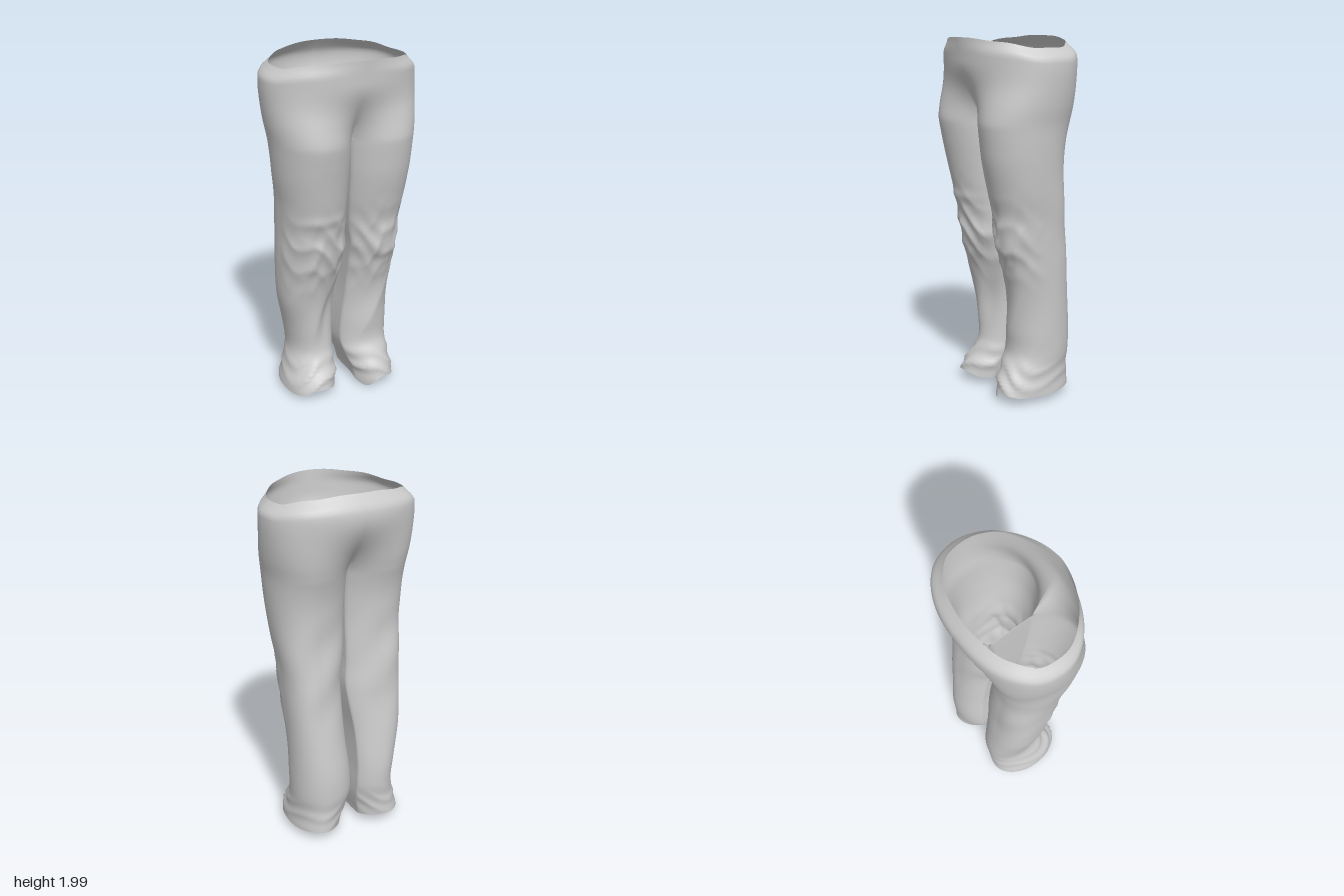
import * as THREE from 'three';
import { mergeVertices } from 'three/addons/utils/BufferGeometryUtils.js';

const CROTCH = 1.55, OUTER = 64, INNER = 18, LOW = 90, HIGH = 26;
// Angles where the leg section meets the front and back centre seams
const FRONT = THREE.MathUtils.degToRad(152), BACK = THREE.MathUtils.degToRad(-145);

// Section keys: height, inner x, outer x, front z, back z
const hips = [
  [1.55, 0, 0.40, 0.287, -0.225], [1.65, 0, 0.416, 0.292, -0.26],
  [1.75, 0, 0.426, 0.293, -0.288], [1.85, 0, 0.43, 0.3, -0.305],
  [1.92, 0, 0.422, 0.304, -0.303], [1.96, 0, 0.4, 0.307, -0.28], [2.0, 0, 0.375, 0.31, -0.25],
];
const leftLeg = [
  [0, 0.075, 0.33, 0.195, -0.25], [0.06, 0.07, 0.33, 0.195, -0.257], [0.12, 0.055, 0.325, 0.178, -0.258],
  [0.19, 0.03, 0.322, 0.14, -0.26], [0.27, 0.015, 0.325, 0.095, -0.268], [0.4, 0.02, 0.328, 0.095, -0.266],
  [0.6, 0.038, 0.333, 0.102, -0.24], [0.8, 0.042, 0.34, 0.148, -0.212], [0.92, 0.038, 0.344, 0.188, -0.202],
  [1.03, 0.025, 0.35, 0.187, -0.193], [1.2, 0.012, 0.37, 0.225, -0.18], [1.35, 0.006, 0.384, 0.26, -0.187],
  [1.45, 0.003, 0.392, 0.275, -0.2], ...hips,
];
const rightLeg = [
  [0, 0.06, 0.342, 0.17, -0.25], [0.06, 0.055, 0.34, 0.175, -0.256], [0.12, 0.045, 0.322, 0.155, -0.255],
  [0.19, 0.036, 0.3, 0.105, -0.255], [0.27, 0.034, 0.28, 0.07, -0.262], [0.4, 0.036, 0.295, 0.07, -0.262],
  [0.6, 0.028, 0.333, 0.092, -0.24], [0.8, 0.002, 0.344, 0.14, -0.212], [0.9, -0.006, 0.346, 0.172, -0.204],
  [1.03, 0.002, 0.348, 0.185, -0.195], [1.2, 0.004, 0.358, 0.22, -0.182], [1.35, 0.003, 0.38, 0.25, -0.188],
  [1.45, 0.002, 0.39, 0.27, -0.2], ...hips,
];

// Smooth interpolation through the section keys
function sectionAt(keys, y) {
  const n = keys.length;
  let i = 0;
  while (i < n - 2 && y > keys[i + 1][0]) i++;
  const a = keys[i], b = keys[i + 1], p = keys[Math.max(0, i - 1)], q = keys[Math.min(n - 1, i + 2)];
  const h = b[0] - a[0], t = THREE.MathUtils.clamp((y - a[0]) / h, 0, 1), t2 = t * t, t3 = t2 * t;
  return [1, 2, 3, 4].map((c) => {
    const ma = (b[c] - p[c]) / (b[0] - p[0]) * h, mb = (q[c] - a[c]) / (q[0] - a[0]) * h;
    return (2 * t3 - 3 * t2 + 1) * a[c] + (t3 - 2 * t2 + t) * ma + (3 * t2 - 2 * t3) * b[c] + (t3 - t2) * mb;
  });
}

const bump = (v, mid, width) => Math.exp(-(((v - mid) / width) ** 2));
const fold = (v) => 1 - 1.6 * Math.abs(Math.sin(v)); // sharp ridge, soft valley

// Cloth folds: crossing knee creases, diagonal shin drags, gathered hem, faint sag at the back
function wrinkle(phi, y, side) {
  const front = Math.max(0, Math.sin(phi)), back = Math.max(0, -Math.sin(phi)), c = Math.cos(phi);
  let d = 0.009 * bump(y, 0.92, 0.17) * front * fold(21 * y + side * 3 * c + Math.sin(4 * phi + side));
  d += 0.007 * bump(y, 0.9, 0.19) * front * fold(13 * y - side * 4 * c + 0.6 * Math.sin(7 * phi));
  d += 0.007 * bump(y, 0.5, 0.22) * front * fold(7 * y - side * 2.6 * c);
  d += 0.01 * bump(y, 0.14, 0.07) * (0.4 + front) * fold(34 * y + 2.5 * c + Math.sin(3 * phi));
  d += 0.004 * bump(y, 1.05, 0.3) * back * Math.sin(15 * y + 4 * side * c);
  if (side < 0) {
    d += 0.008 * bump(y, 1.12, 0.03) * front ** 3; // ledge above the right knee
    d -= 0.02 * bump(y, 0.4 - 0.2 * c, 0.15) * bump(phi, 2.1, 0.45); // hollow beside the right shin fold
  }
  return d * THREE.MathUtils.smoothstep(CROTCH - y, 0.05, 0.35);
}

// Uneven bottom edge of a leg
function hemHeight(phi, side) {
  const s = Math.sin(phi), c = Math.cos(phi);
  const inner = bump(c, side > 0 ? -0.65 : -0.8, 0.35), outer = bump(c, 0.85, 0.4);
  const front = 0.072 - (side > 0 ? 0.065 : 0.03) * inner - (side > 0 ? 0.025 : 0.04) * outer;
  const back = 0.06 - 0.015 * c * c;
  return THREE.MathUtils.lerp(back, front, THREE.MathUtils.smoothstep(s, -0.6, 0.5));
}

// Waist edge: high at front and back, low at the sides
const waistHeight = (a) => 1.946 + 0.052 * Math.abs(Math.cos(a)) ** 1.6 + 0.004 * Math.sin(9 * a) * Math.sin(a);

// Point on the closed leg section: flat on the inner side, fuller at the outer back
function legPoint(keys, phi, y, side) {
  const [xi, xo, zf, zb] = sectionAt(keys, y);
  const c = Math.cos(phi), s = Math.sin(phi), r = (xo - xi) / 2, w = wrinkle(phi, y, side);
  const flat = c > 0 ? 1 : s < 0 ? 1.22 : 1.133;
  const full = 0.034 * bump(y, 0.98, 0.36) * Math.max(0, -s) * Math.max(0, c);
  const x = Math.max(xi, (xi + xo) / 2 + (r + w) * c * flat + full);
  return [x, y, (zf + zb) / 2 + ((zf - zb) / 2 + w) * s - full];
}

// Above the crotch the leg section blends into half of the hip section
function hipPoint(keys, s, y) {
  const leg = legPoint(keys, THREE.MathUtils.lerp(FRONT, BACK, s), y, 1);
  const [, xo, zf, zb] = sectionAt(keys, y);
  const a = Math.PI * s, c = Math.cos(a), e = c < 0 ? 0.88 : 1;
  const x = xo * Math.sin(a) ** e, z = (zf + zb) / 2 + (zf - zb) / 2 * Math.sign(c) * Math.abs(c) ** e;
  const k = Math.sin(Math.PI / 2 * THREE.MathUtils.clamp((y - CROTCH) / 0.33, 0, 1)) ** 1.3;
  const edge = s === 0 || s === 1;
  return [edge ? 0 : THREE.MathUtils.lerp(leg[0], x, k), y, THREE.MathUtils.lerp(leg[2], z, k)];
}

// One half of the garment: closed leg rows, then open hip rows
function addHalf(keys, side, pos, idx) {
  const base = pos.length / 3, cols = OUTER + INNER;
  const quad = (a, b, c, d) => {
    if (side > 0) idx.push(a, b, c, a, c, d);
    else idx.push(a, c, b, a, d, c);
  };
  for (let j = 0; j <= LOW; j++) {
    for (let i = 0; i < cols; i++) {
      const phi = i <= OUTER ? THREE.MathUtils.lerp(FRONT, BACK, i / OUTER)
        : THREE.MathUtils.lerp(BACK, FRONT - 2 * Math.PI, (i - OUTER) / INNER);
      const y = THREE.MathUtils.lerp(hemHeight(phi, side), CROTCH, j / LOW);
      const p = legPoint(keys, phi, y, side);
      if (j === LOW && (i === 0 || i >= OUTER)) p[0] = 0;
      pos.push(p[0] * side, p[1], p[2]);
      if (j < LOW) {
        const a = base + j * cols + i, b = base + j * cols + (i + 1) % cols;
        quad(a, b, b + cols, a + cols);
      }
    }
  }
  const rim = base + LOW * cols, hip = pos.length / 3;
  const at = (j, i) => (j === 0 ? rim + i : hip + (j - 1) * (OUTER + 1) + i);
  for (let j = 1; j <= HIGH; j++) {
    for (let i = 0; i <= OUTER; i++) {
      const s = i / OUTER, top = waistHeight(Math.PI * s), y = THREE.MathUtils.lerp(CROTCH, top, j / HIGH);
      const p = hipPoint(keys, s, y);
      // the rim closes inward at the sides too, where it is lower
      const tuck = 1 - 0.08 * THREE.MathUtils.smoothstep(j / HIGH, 0.84, 1) * Math.sin(Math.PI * s);
      pos.push(p[0] * tuck * side, p[1], p[2] * tuck);
      if (i < OUTER) quad(at(j - 1, i), at(j - 1, i + 1), at(j, i + 1), at(j, i));
    }
  }
}

export function createModel() {
  const pos = [], idx = [];
  addHalf(leftLeg, 1, pos, idx);
  addHalf(rightLeg, -1, pos, idx);
  let geometry = new THREE.BufferGeometry();
  geometry.setAttribute('position', new THREE.Float32BufferAttribute(pos, 3));
  geometry.setIndex(idx);
  geometry = mergeVertices(geometry, 1e-4);
  geometry.computeVertexNormals();
  const trousers = new THREE.Mesh(geometry, new THREE.MeshStandardMaterial({ color: 0xcccccc, side: THREE.DoubleSide }));
  trousers.name = 'trousers';
  const group = new THREE.Group();
  group.name = 'trouserModel';
  group.add(trousers);
  return group;
}
